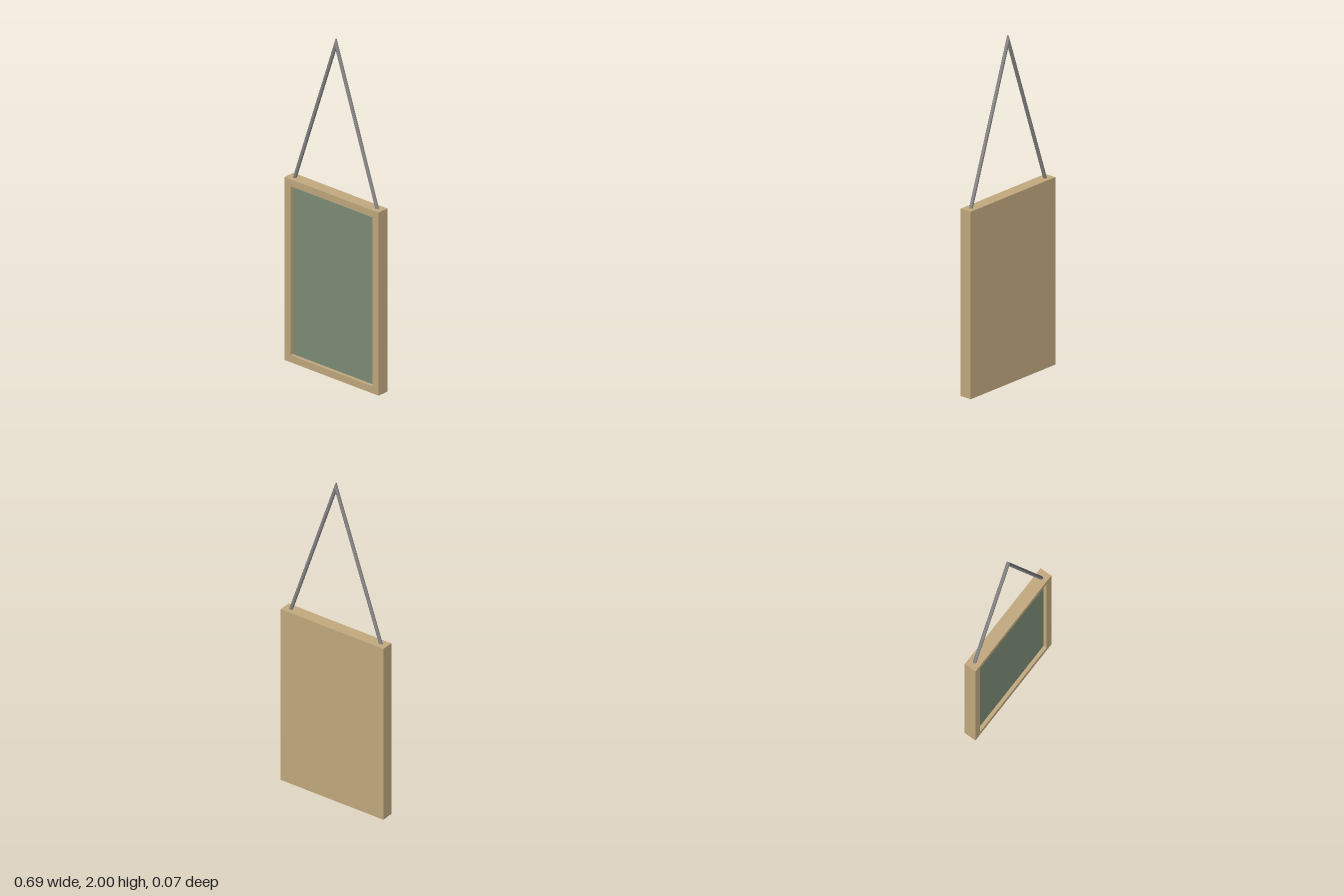
import * as THREE from 'three';

const W = 0.343, H = 1.085, D = 0.036;   // half width, height, half depth
const BORDER = 0.042, FLOOR = 0.014;     // rim width, z of the recess floor

const rect = (Type, x, y0, y1) => new Type([
  new THREE.Vector2(-x, y0), new THREE.Vector2(x, y0),
  new THREE.Vector2(x, y1), new THREE.Vector2(-x, y1),
]);

// Straight cord from its frame end to the apex, cut off by the plane x = 0
function cordGeometry(from, to, radius) {
  const dir = to.clone().sub(from);
  const length = dir.length();
  dir.normalize();
  const geo = new THREE.CylinderGeometry(radius, radius, length, 12, 1, true);
  geo.translate(0, length / 2, 0);
  geo.applyQuaternion(new THREE.Quaternion().setFromUnitVectors(new THREE.Vector3(0, 1, 0), dir));
  geo.translate(from.x, from.y, from.z);
  const pos = geo.attributes.position, v = new THREE.Vector3();
  for (let i = 0; i < pos.count; i++) {
    v.fromBufferAttribute(pos, i);
    if (v.y < (from.y + to.y) / 2) continue;
    v.addScaledVector(dir, -v.x / dir.x);
    pos.setXYZ(i, v.x, v.y, v.z);
  }
  return geo;
}

export function createModel() {
  const wood = new THREE.MeshStandardMaterial({ name: 'tan wood', color: 0xc4ab80 });
  const green = new THREE.MeshStandardMaterial({ name: 'muted green', color: 0x7d8e78 });
  const grey = new THREE.MeshStandardMaterial({ name: 'grey cord', color: 0x888888 });

  const model = new THREE.Group();
  model.name = 'hangingBoard';
  const add = (name, geometry, material) => {
    const mesh = new THREE.Mesh(geometry, material);
    mesh.name = name;
    model.add(mesh);
    return mesh;
  };

  // Solid back of the board
  add('backBoard', new THREE.BoxGeometry(2 * W, H, D + FLOOR), wood)
    .position.set(0, H / 2, (FLOOR - D) / 2);

  // Raised rim around the front
  const outline = rect(THREE.Shape, W, 0, H);
  outline.holes.push(rect(THREE.Path, W - BORDER, BORDER, H - BORDER));
  add('frontRim', new THREE.ExtrudeGeometry(outline, { depth: D - FLOOR, bevelEnabled: false }), wood)
    .position.z = FLOOR;

  // Recessed green face
  add('panel', new THREE.BoxGeometry(2 * (W - BORDER), H - 2 * BORDER, 0.004), green)
    .position.set(0, H / 2, FLOOR);

  // Two cords mitred together at the top
  const apex = new THREE.Vector3(0, 1.968, 0);
  for (const [name, side] of [['leftCord', 1], ['rightCord', -1]]) {
    add(name, cordGeometry(new THREE.Vector3(side * 0.305, H - 0.015, 0), apex, 0.0103), grey);
  }
  return model;
}
